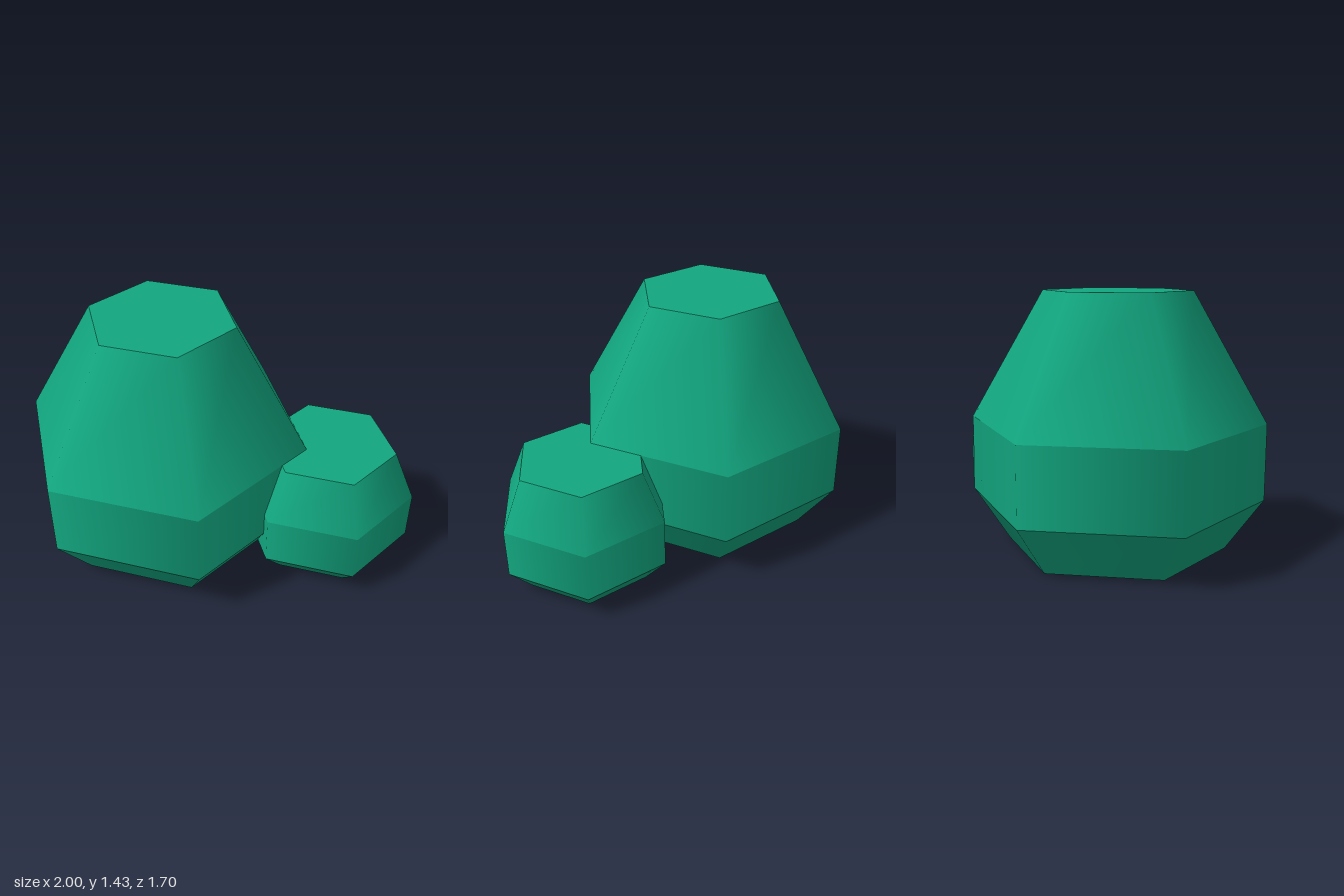
import * as THREE from 'three';
import { mergeGeometries } from 'three/addons/utils/BufferGeometryUtils.js';

const SIDES = 6;

// Horizontal hexagonal lid with a corner pointing to +z
function cap(radius, y, up) {
  const geometry = new THREE.CircleGeometry(radius, SIDES, Math.PI / 2);
  geometry.rotateX(up ? -Math.PI / 2 : Math.PI / 2);
  return geometry.translate(0, y, 0);
}

// Bush from stacked [radius, y] rings: smooth around, creased between bands
function bushGeometry(rings) {
  const parts = [];
  for (let i = 0; i < rings.length - 1; i++) {
    const [r0, y0] = rings[i];
    const [r1, y1] = rings[i + 1];
    const band = new THREE.CylinderGeometry(r1, r0, y1 - y0, SIDES, 1, true);
    parts.push(band.translate(0, (y0 + y1) / 2, 0));
  }
  const [rBottom, yBottom] = rings[0];
  const [rTop, yTop] = rings[rings.length - 1];
  parts.push(cap(rBottom, yBottom, false), cap(rTop, yTop, true));
  return mergeGeometries(parts);
}

export function createModel() {
  const group = new THREE.Group();
  group.name = 'bushes';
  const leaf = new THREE.MeshStandardMaterial({ color: 0x12a67f });

  const addBush = (name, x, z, rings) => {
    const mesh = new THREE.Mesh(bushGeometry(rings), leaf);
    mesh.name = name;
    mesh.position.set(x, 0, z);
    group.add(mesh);
  };

  // Tall bush
  addBush('largeBush', -0.288, -0.029, [[0.616, 0], [0.822, 0.287], [0.822, 0.715], [0.411, 1.43]]);
  // Low bush, in front on the model's left
  addBush('smallBush', 0.571, 0.355, [[0.37, 0], [0.495, 0.143], [0.495, 0.43], [0.37, 0.715]]);

  return group;
}
